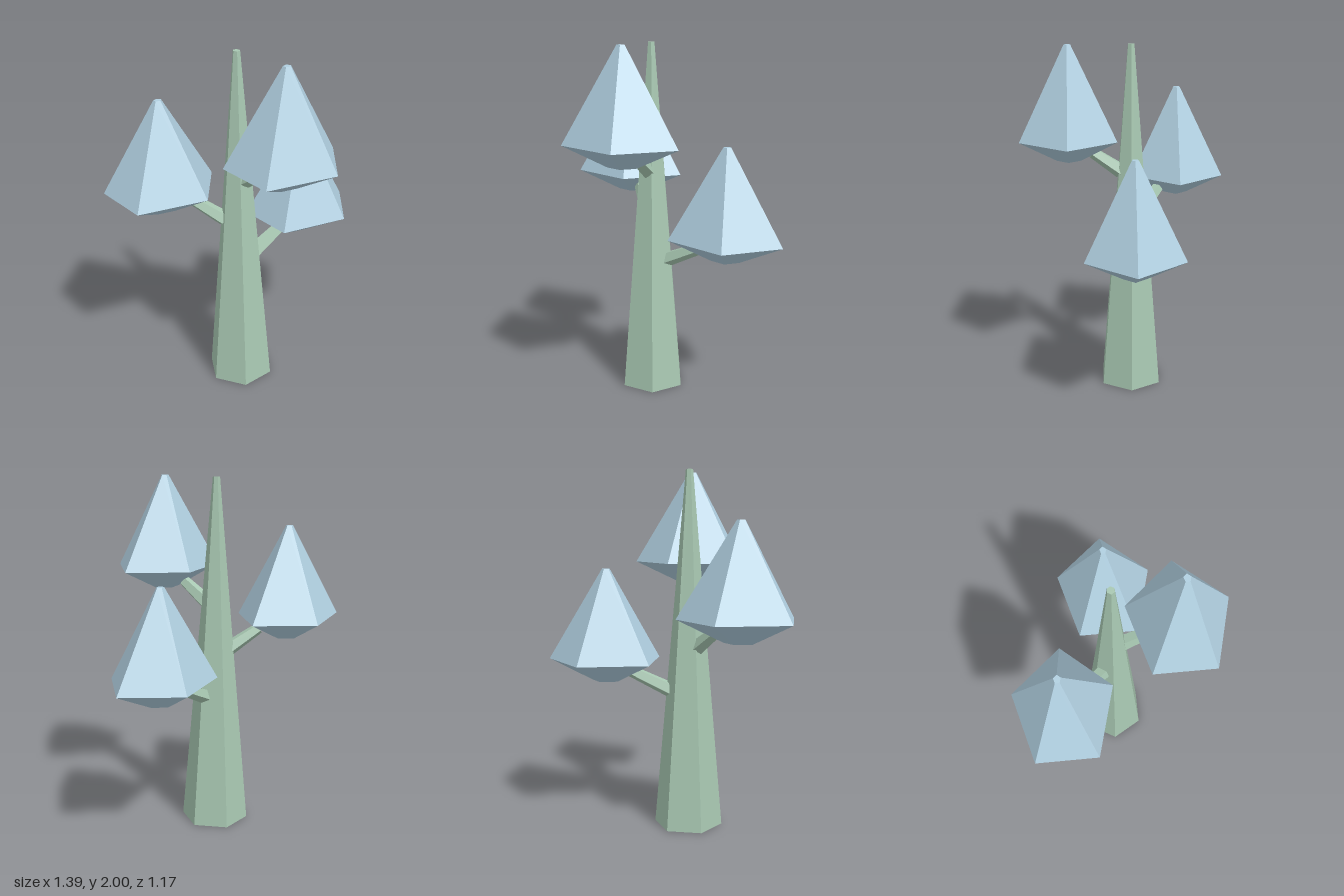
import * as THREE from 'three';

const bark = new THREE.MeshStandardMaterial({ color: 0xa8c8b2, flatShading: true });
bark.name = 'paleGreenBark';
const leaf = new THREE.MeshStandardMaterial({ color: 0xb0cfe0, flatShading: true });
leaf.name = 'paleBlueLeaf';

const TRUNK_X = -0.1175, TRUNK_Z = -0.035;

// Faceted mesh with one normal per face
function facet(geometry, material, name) {
  const g = geometry.toNonIndexed();
  g.computeVertexNormals();
  const mesh = new THREE.Mesh(g, material);
  mesh.name = name;
  return mesh;
}

// Tapered five-sided branch between two points, its ridge facing down
function makeBranch(start, end, name) {
  const g = new THREE.CylinderGeometry(0.033, 0.045, start.distanceTo(end), 5);
  g.rotateX(Math.PI / 2);
  const branch = facet(g, bark, name);
  branch.position.copy(start).add(end).multiplyScalar(0.5);
  branch.lookAt(end);
  return branch;
}

// Five-sided crown, slightly squashed in depth, with a shallow underside
function makeCrown(x, topY, z, name) {
  const profile = [[0, -0.635], [0.085, -0.635], [0.339, -0.518], [0.023, 0], [0, 0]]
    .map(([r, y]) => new THREE.Vector2(r, y));
  const g = new THREE.LatheGeometry(profile, 5);
  g.rotateY(Math.PI / 2);
  g.scale(1, 1, 0.835);
  const crown = facet(g, leaf, name);
  crown.position.set(x, topY, z);
  return crown;
}

export function createModel() {
  const tree = new THREE.Group();
  tree.name = 'tree';

  // Six-sided tapering trunk
  const trunkShape = new THREE.CylinderGeometry(0.02, 0.193, 2, 6);
  trunkShape.rotateY(Math.PI / 2);
  const trunk = facet(trunkShape, bark, 'trunk');
  trunk.position.set(TRUNK_X, 1, TRUNK_Z);
  tree.add(trunk);

  // Each limb: crown tip, then branch [distance from trunk axis, height] at both ends
  const limbs = [
    { name: 'front', tip: [-0.09, 2.0, 0.314], from: [0.055, 1.293], to: [0.217, 1.405] },
    { name: 'right', tip: [-0.424, 1.73, -0.316], from: [0.08, 1.035], to: [0.25, 1.147] },
    { name: 'left', tip: [0.353, 1.457, -0.037], from: [0.098, 0.775], to: [0.35, 0.888] },
  ];
  for (const { name, tip, from, to } of limbs) {
    const [x, y, z] = tip;
    const out = new THREE.Vector3(x - TRUNK_X, 0, z - TRUNK_Z).normalize();
    const along = ([d, h]) => new THREE.Vector3(TRUNK_X + out.x * d, h, TRUNK_Z + out.z * d);
    tree.add(makeBranch(along(from), along(to), name + 'Branch'));
    tree.add(makeCrown(x, y, z, name + 'Crown'));
  }
  return tree;
}
